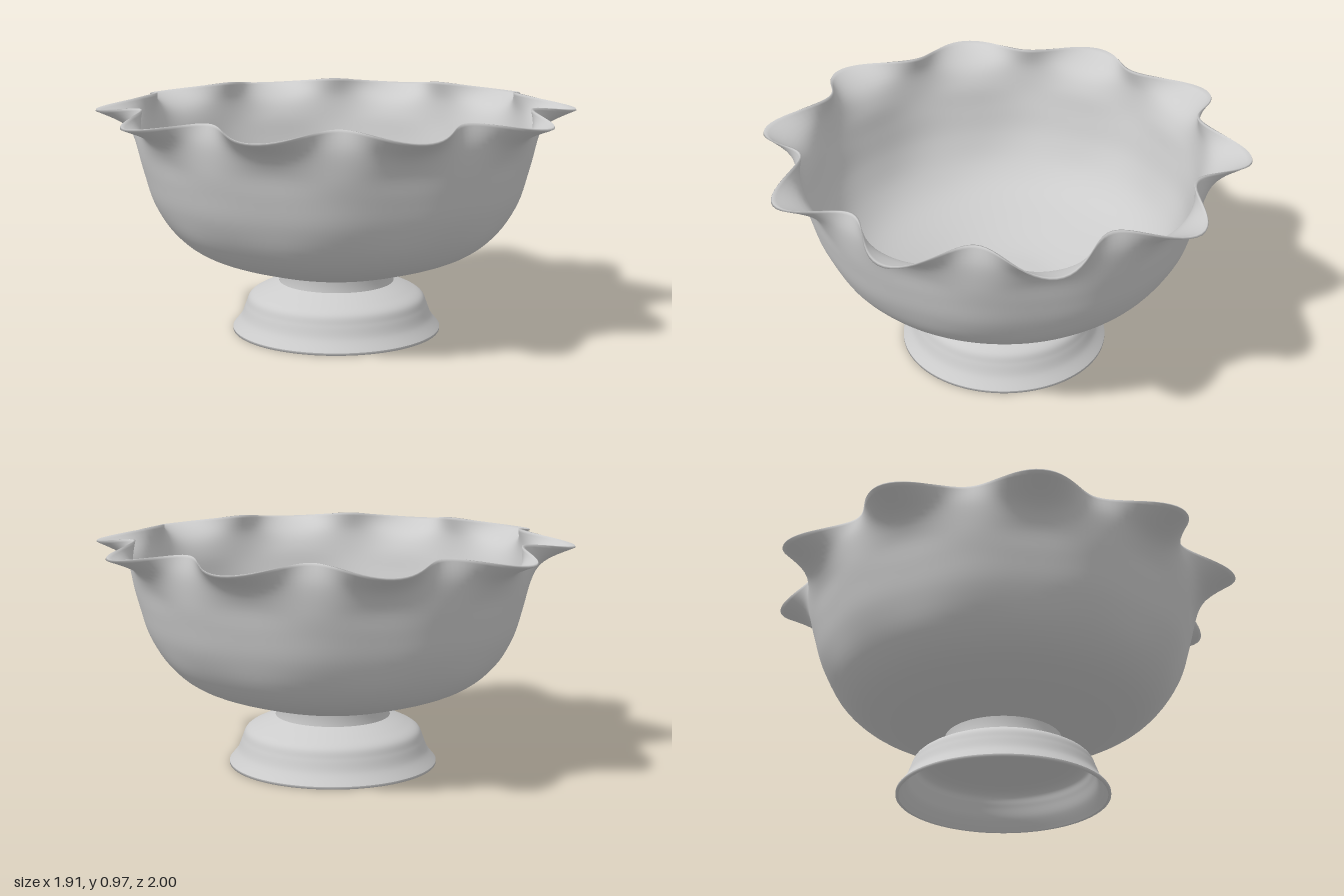
import * as THREE from 'three';
import { mergeVertices } from 'three/addons/utils/BufferGeometryUtils.js';

const LOBES = 10;
const SEGMENTS = 240;
const STEPS = 48;
const mat = new THREE.MeshStandardMaterial({ color: 0xcccccc, side: THREE.DoubleSide });
const curve = (pts) => new THREE.SplineCurve(pts.map(([r, y]) => new THREE.Vector2(r, y)));

// Wall profiles (radius, height) through a lobe tip and through the valley between lobes
const wall = [[0, 0.245], [0.12, 0.247], [0.245, 0.256], [0.4, 0.295], [0.58, 0.36], [0.69, 0.45]];
const lobe = curve([...wall, [0.755, 0.57], [0.79, 0.69], [0.818, 0.8], [0.875, 0.875], [1, 0.93]]);
const valley = curve([...wall, [0.765, 0.57], [0.803, 0.69], [0.828, 0.79], [0.84, 0.89], [0.825, 0.97]]);

// Closed section: up the outside, over the lip, back down the inside
function section(profile) {
  const outer = [], inner = [];
  for (let i = 0; i <= STEPS; i++) {
    const t = i / STEPS;
    const p = profile.getPoint(t), d = profile.getTangent(t);
    const thick = 0.02 - 0.011 * t;
    outer.push(p);
    inner.unshift(new THREE.Vector2(i ? Math.max(0, p.x - d.y * thick) : 0, p.y + d.x * thick));
  }
  return [...outer, ...inner];
}

// Lathe whose section blends between lobe and valley around the bowl
function makeBowl() {
  const a = section(lobe), b = section(valley), n = a.length;
  const geo = new THREE.LatheGeometry(a, SEGMENTS);
  const pos = geo.attributes.position;
  for (let i = 0; i <= SEGMENTS; i++) {
    const phi = ((i % SEGMENTS) / SEGMENTS) * Math.PI * 2;
    const w = 0.5 - 0.5 * Math.cos(LOBES * phi);
    for (let j = 0; j < n; j++) {
      const p = a[j].clone().lerp(b[j], w);
      pos.setXYZ(i * n + j, p.x * Math.sin(phi), p.y, p.x * Math.cos(phi));
    }
  }
  // Weld the seam so the shading stays continuous
  geo.deleteAttribute('uv');
  geo.deleteAttribute('normal');
  const welded = mergeVertices(geo, 1e-5);
  welded.computeVertexNormals();
  return welded;
}

export function createModel() {
  const group = new THREE.Group();
  const add = (name, geo, parent = group) => {
    const mesh = new THREE.Mesh(geo, mat);
    mesh.name = name;
    parent.add(mesh);
  };
  const lathe = (points) => new THREE.LatheGeometry(points, 96);

  add('ruffledBowl', makeBowl());

  // Hollow pedestal foot
  const foot = new THREE.Group();
  foot.name = 'foot';
  group.add(foot);
  const v = (r, y) => new THREE.Vector2(r, y);
  add('neck', lathe([v(0.243, 0.205), v(0.24, 0.23), v(0.243, 0.258)]), foot);
  add('flaredFoot', lathe(curve([[0.44, 0.01], [0.405, 0.055], [0.385, 0.105], [0.365, 0.147],
    [0.31, 0.178], [0.243, 0.207]]).getPoints(36)), foot);
  add('footRim', lathe([v(0.428, 0), v(0.44, 0), v(0.44, 0.01)]), foot);
  add('footInside', lathe(curve([[0, 0.165], [0.15, 0.165], [0.29, 0.16], [0.348, 0.14],
    [0.37, 0.1], [0.392, 0.05], [0.428, 0]]).getPoints(42)), foot);
  return group;
}
